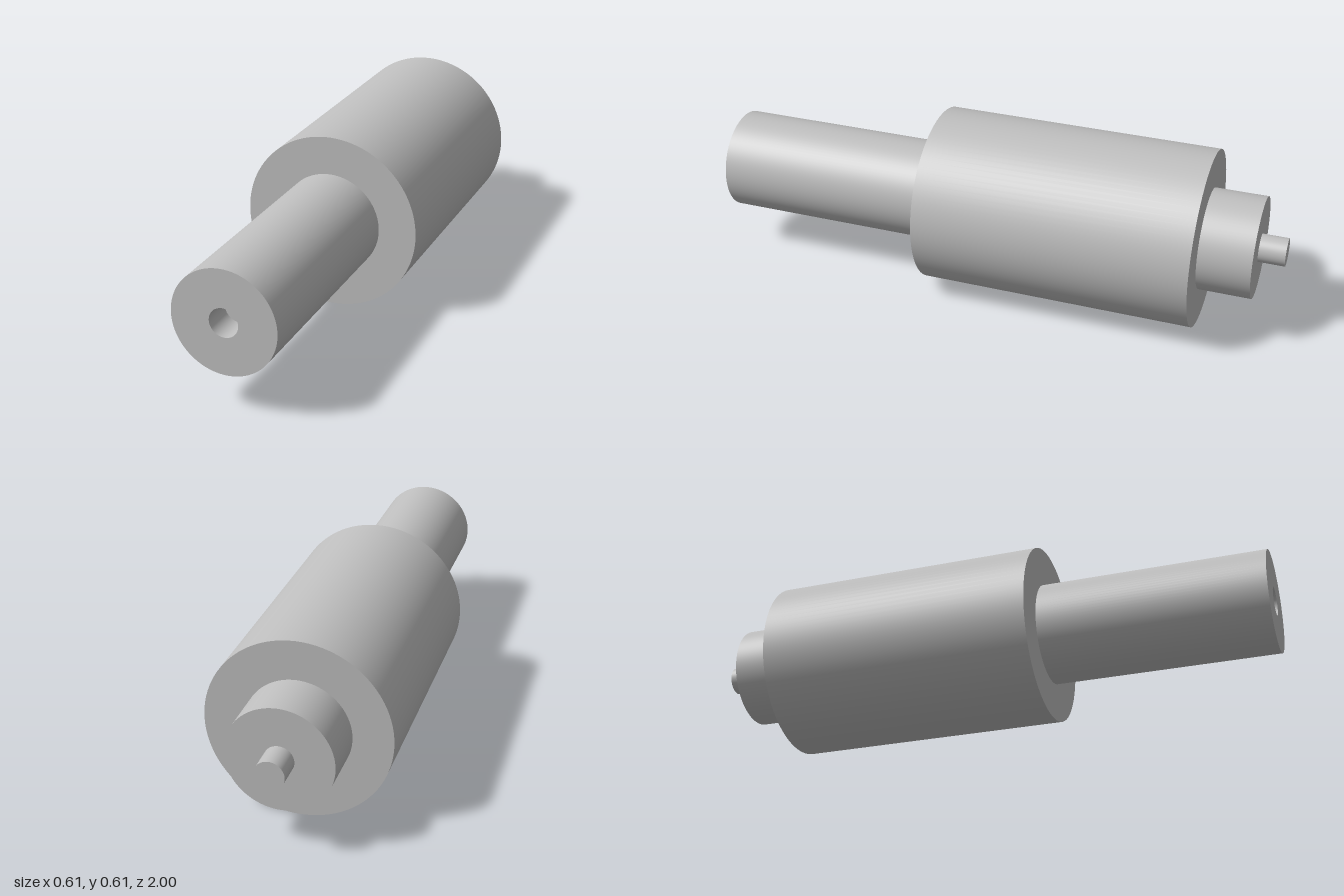
import * as THREE from 'three';
import { mergeGeometries } from 'three/addons/utils/BufferGeometryUtils.js';

const SEGMENTS = 96;
const AXIS_HEIGHT = 0.305;

// Revolve a [radius, z] profile around the z axis, keeping every corner sharp
function turned(name, profile, material) {
  const bands = [];
  for (let i = 0; i < profile.length - 1; i++) {
    const ends = [profile[i], profile[i + 1]].map(([r, z]) => new THREE.Vector2(r, z));
    bands.push(new THREE.LatheGeometry(ends, SEGMENTS));
  }
  const geometry = mergeGeometries(bands);
  geometry.rotateX(Math.PI / 2);
  const mesh = new THREE.Mesh(geometry, material);
  mesh.name = name;
  mesh.position.y = AXIS_HEIGHT;
  return mesh;
}

export function createModel() {
  const grey = new THREE.MeshStandardMaterial({ color: 0xbfbfbf });
  grey.name = 'plain grey';

  const bodyR = 0.305, shaftR = 0.174, pinR = 0.048;
  const back = -1, collarBack = -0.91, bodyBack = -0.73, bodyFront = 0.225, front = 1;
  const socketFloor = 0.9;

  const model = new THREE.Group();
  model.name = 'steppedRoller';
  model.add(
    // Small pin at the back
    turned('backPin', [[0, back], [pinR, back], [pinR, collarBack]], grey),
    // Short collar behind the body
    turned('backCollar', [[pinR, collarBack], [shaftR, collarBack], [shaftR, bodyBack]], grey),
    // Wide main drum with both annular shoulders
    turned('mainBody', [[shaftR, bodyBack], [bodyR, bodyBack], [bodyR, bodyFront], [shaftR, bodyFront]], grey),
    // Long front shaft with a blind socket in its end
    turned('frontShaft', [[shaftR, bodyFront], [shaftR, front], [pinR, front], [pinR, socketFloor], [0, socketFloor]], grey),
  );
  return model;
}
